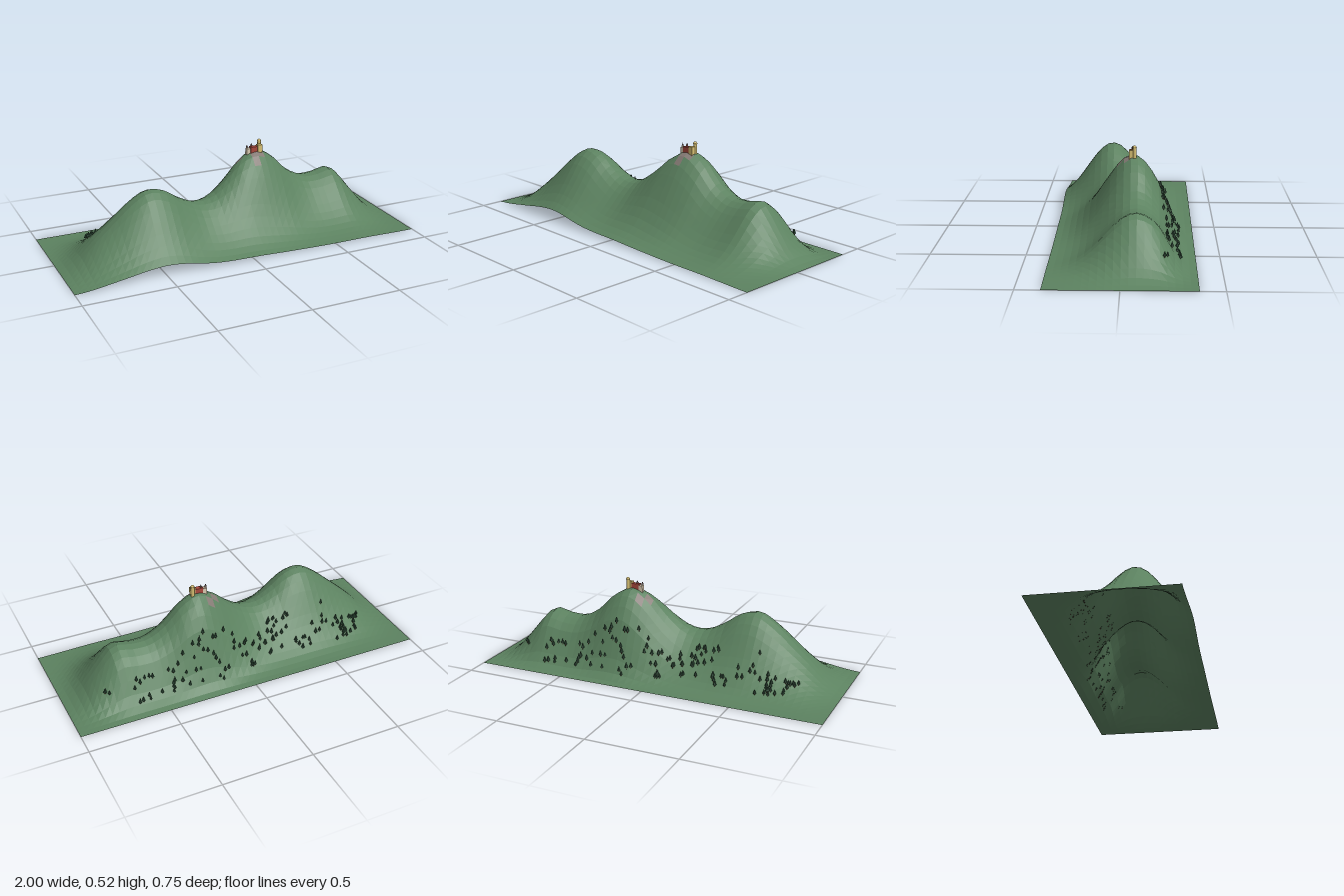
import * as THREE from 'three';

// Ridge height every 0.1 in x, ridge position in z every 0.2 in x
const CREST = [0, 0.05, 0.143, 0.232, 0.318, 0.375, 0.357, 0.29, 0.247, 0.26, 0.33, 0.42, 0.465, 0.418, 0.32, 0.266, 0.265, 0.278, 0.17, 0.05, 0];
const RIDGE_Z = [0.08, 0.08, 0.085, 0.075, 0.04, 0, -0.05, -0.065, -0.07, -0.07, -0.07];
const HALF_Z = 0.375, NX = 50, NZ = 20;

// Smooth lookup through evenly spaced values, x from -1 to 1
function sample(values, x) {
  const n = values.length - 1;
  const f = THREE.MathUtils.clamp((x + 1) / 2, 0, 1) * n;
  const i = Math.min(Math.floor(f), n - 1), t = f - i;
  const p = k => values[THREE.MathUtils.clamp(k, 0, n)];
  const a = p(i - 1), b = p(i), c = p(i + 1), d = p(i + 2);
  return b + 0.5 * t * (c - a + t * (2 * a - 5 * b + 4 * c - d + t * (3 * (b - c) + d - a)));
}

// Bell-shaped section across the ridge, fading to zero at the back edge
function heightAt(x, z) {
  const d = (z - sample(RIDGE_Z, x)) / 0.22;
  const fade = THREE.MathUtils.smoothstep(z + HALF_Z, 0, 0.2);
  return Math.max(0, sample(CREST, x) * Math.exp(-d * d) * fade);
}

const mat = (color, extra = {}) => new THREE.MeshStandardMaterial({ color, ...extra });

function add(parent, name, geometry, material, x, y, z) {
  const mesh = new THREE.Mesh(geometry, material);
  mesh.name = name;
  mesh.position.set(x, y, z);
  parent.add(mesh);
  return mesh;
}

// Ground sheet; a few cells near the summit are bare rock
function buildTerrain(root) {
  const rocky = new Set(['29,9', '29,10', '30,9', '27,8', '28,7']);
  const pos = [], grass = [], rock = [];
  for (let j = 0; j <= NZ; j++) {
    for (let i = 0; i <= NX; i++) {
      const x = -1 + (2 * i) / NX, z = -HALF_Z + (2 * HALF_Z * j) / NZ;
      pos.push(x, heightAt(x, z), z);
    }
  }
  for (let j = 0; j < NZ; j++) {
    for (let i = 0; i < NX; i++) {
      const a = j * (NX + 1) + i, b = a + NX + 1;
      (rocky.has(`${i},${j}`) ? rock : grass).push(a, b, a + 1, b, b + 1, a + 1);
    }
  }
  const attribute = new THREE.Float32BufferAttribute(pos, 3);
  for (const [name, index, color] of [['hills', grass, 0x5c8260], ['bareRock', rock, 0x857b75]]) {
    const g = new THREE.BufferGeometry();
    g.setAttribute('position', attribute);
    g.setIndex(index);
    g.computeVertexNormals();
    add(root, name, g, mat(color, { flatShading: true, side: THREE.DoubleSide }), 0, 0, 0);
  }
}

// Conifers scattered in clusters on the back slope
function buildForest(root) {
  const forest = new THREE.Group();
  forest.name = 'forest';
  root.add(forest);
  let seed = 7;
  const random = () => (seed = (seed * 16807) % 2147483647) / 2147483647;
  const trunk = new THREE.CylinderGeometry(0.002, 0.0025, 0.012, 5);
  const crown = new THREE.ConeGeometry(0.009, 0.026, 6);
  const bark = mat(0x4a3a2a), leaves = mat(0x2f4d3a, { flatShading: true });
  // x range, z range, number of trees
  const clusters = [
    [-0.79, -0.72, -0.21, -0.1, 9], [-0.7, -0.58, -0.24, -0.13, 15], [-0.57, -0.46, -0.2, -0.08, 7],
    [-0.42, -0.33, -0.24, -0.19, 8], [-0.34, -0.2, -0.15, -0.08, 12], [-0.25, -0.06, -0.24, -0.13, 16],
    [-0.06, 0.12, -0.27, -0.17, 15], [0.1, 0.28, -0.3, -0.19, 15], [0.28, 0.46, -0.29, -0.2, 15],
    [0.46, 0.66, -0.3, -0.21, 11], [0.72, 0.81, -0.23, -0.21, 3],
  ];
  for (const [x0, x1, z0, z1, count] of clusters) {
    for (let k = 0; k < count; k++) {
      const x = x0 + (x1 - x0) * random(), z = z0 + (z1 - z0) * random();
      const tree = new THREE.Group();
      tree.name = 'tree';
      tree.position.set(x, heightAt(x, z), z);
      tree.scale.setScalar(0.85 + 0.3 * random());
      add(tree, 'trunk', trunk, bark, 0, 0.004, 0);
      add(tree, 'crown', crown, leaves, 0, 0.021, 0);
      forest.add(tree);
    }
  }
}

// Small palace on the highest summit
function buildPalace(root) {
  const palace = new THREE.Group();
  palace.name = 'palace';
  palace.position.set(0.19, 0.46, -0.047);
  root.add(palace);
  const yellow = mat(0xd6bf72), red = mat(0xa8483c), pale = mat(0xd9c9b0), slate = mat(0x5a4a48);
  const box = (name, w, h, d, m, x, z) => add(palace, name, new THREE.BoxGeometry(w, h + 0.02, d), m, x, h / 2 - 0.01, z);
  const turret = (name, r, h, m, x, z) => {
    add(palace, name, new THREE.CylinderGeometry(r, r, h + 0.02, 12), m, x, h / 2 - 0.01, z);
  };

  box('redWing', 0.045, 0.027, 0.026, red, -0.004, 0.006);
  box('yellowWing', 0.028, 0.035, 0.024, yellow, 0.03, 0.009);
  box('paleWing', 0.024, 0.02, 0.024, pale, -0.036, 0.004);

  // Domed main tower
  turret('mainTower', 0.01, 0.05, yellow, 0.038, -0.009);
  add(palace, 'towerCornice', new THREE.CylinderGeometry(0.0115, 0.0115, 0.003, 12), yellow, 0.038, 0.05, -0.009);
  add(palace, 'towerDome', new THREE.SphereGeometry(0.01, 12, 6, 0, Math.PI * 2, 0, Math.PI / 2), yellow, 0.038, 0.0515, -0.009);

  // Slim turrets with pointed roofs
  for (const [x, z, h, m] of [[-0.044, 0.004, 0.028, pale], [-0.015, 0, 0.033, red]]) {
    turret('turret', 0.005, h, m, x, z);
    add(palace, 'turretRoof', new THREE.ConeGeometry(0.0065, 0.014, 10), slate, x, h + 0.007, z);
  }
}

export function createModel() {
  const root = new THREE.Group();
  root.name = 'hillLandscape';
  buildTerrain(root);
  buildForest(root);
  buildPalace(root);
  return root;
}
